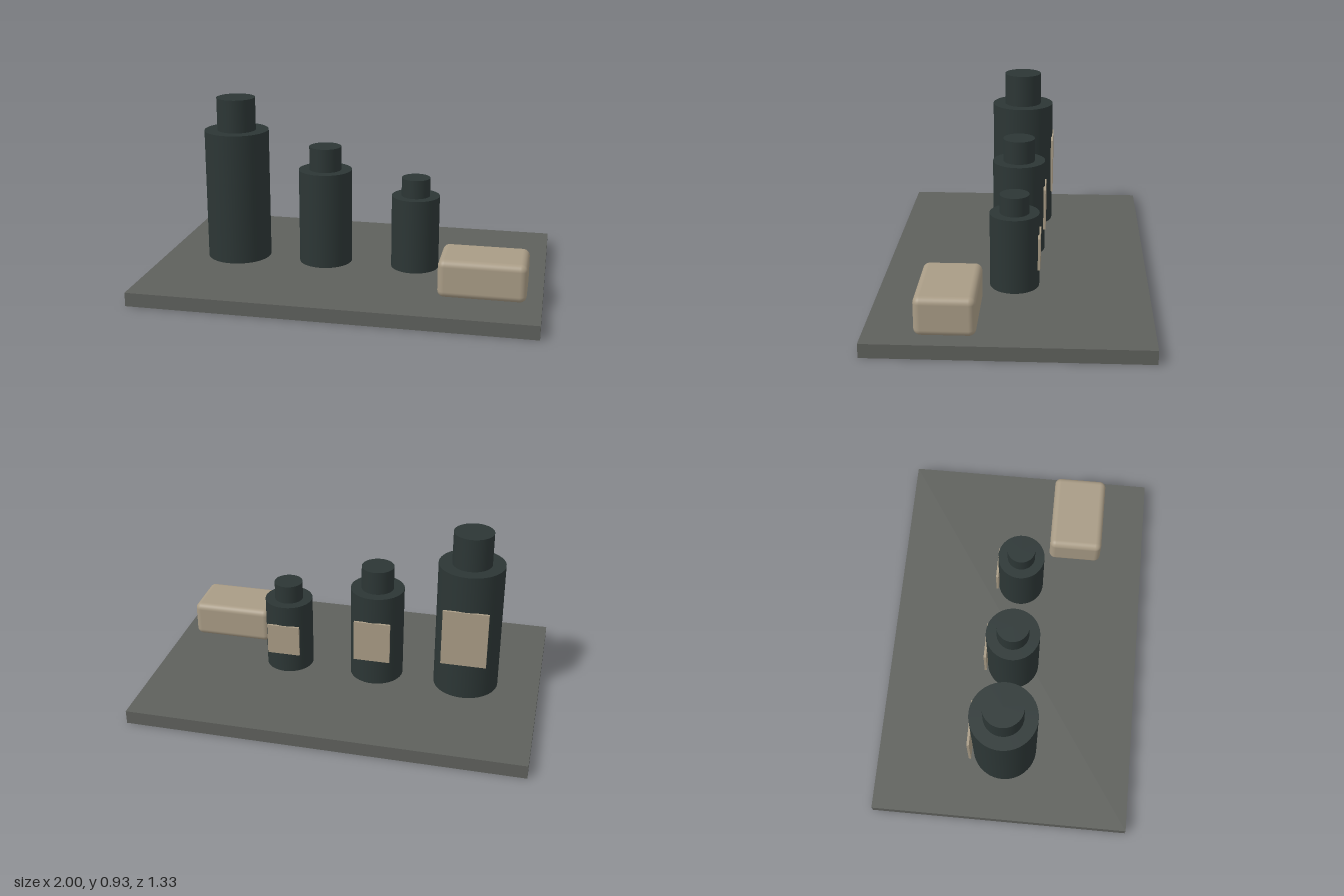
import * as THREE from 'three';
import { RoundedBoxGeometry } from 'three/addons/geometries/RoundedBoxGeometry.js';

const TRAY_TOP = 0.07;

function material(name, color) {
  const m = new THREE.MeshStandardMaterial({ color });
  m.name = name;
  return m;
}

function addMesh(parent, name, geometry, mat, x, y, z) {
  const mesh = new THREE.Mesh(geometry, mat);
  mesh.name = name;
  mesh.position.set(x, y, z);
  parent.add(mesh);
  return mesh;
}

export function createModel() {
  const stone = material('grey stone', 0x5e605c);
  const glass = material('dark green', 0x2c3635);
  const cream = material('warm beige', 0xa89b85);

  const model = new THREE.Group();
  model.name = 'bottleTray';

  // Flat tray
  addMesh(model, 'tray', new THREE.BoxGeometry(2, TRAY_TOP, 1.333), stone, 0, TRAY_TOP / 2, 0);

  // Three bottles in falling size, each with a cap and a label on the back
  const bottles = [
    { name: 'largeBottle', x: -0.62, r: 0.167, top: 0.755, capR: 0.1, capTop: 0.926, label: [0.23, 0.265, 0.565] },
    { name: 'mediumBottle', x: -0.145, r: 0.138, top: 0.566, capR: 0.083, capTop: 0.688, label: [0.187, 0.21, 0.43] },
    { name: 'smallBottle', x: 0.33, r: 0.123, top: 0.452, capR: 0.073, capTop: 0.547, label: [0.17, 0.18, 0.345] },
  ];
  for (const b of bottles) {
    const bottle = new THREE.Group();
    bottle.name = b.name;
    bottle.position.x = b.x;
    const h = b.top - TRAY_TOP;
    const capH = b.capTop - b.top;
    const [w, low, high] = b.label;
    addMesh(bottle, 'body', new THREE.CylinderGeometry(b.r, b.r, h, 48), glass, 0, TRAY_TOP + h / 2, 0);
    addMesh(bottle, 'cap', new THREE.CylinderGeometry(b.capR, b.capR, capH, 48), glass, 0, b.top + capH / 2, 0);
    addMesh(bottle, 'label', new THREE.BoxGeometry(w, high - low, 0.012), cream, 0, (low + high) / 2, -b.r);
    model.add(bottle);
  }

  // Soap bar with rounded edges
  addMesh(model, 'soapBar', new RoundedBoxGeometry(0.427, 0.19, 0.285, 5, 0.033), cream, 0.711, 0.165, 0.287);

  return model;
}
